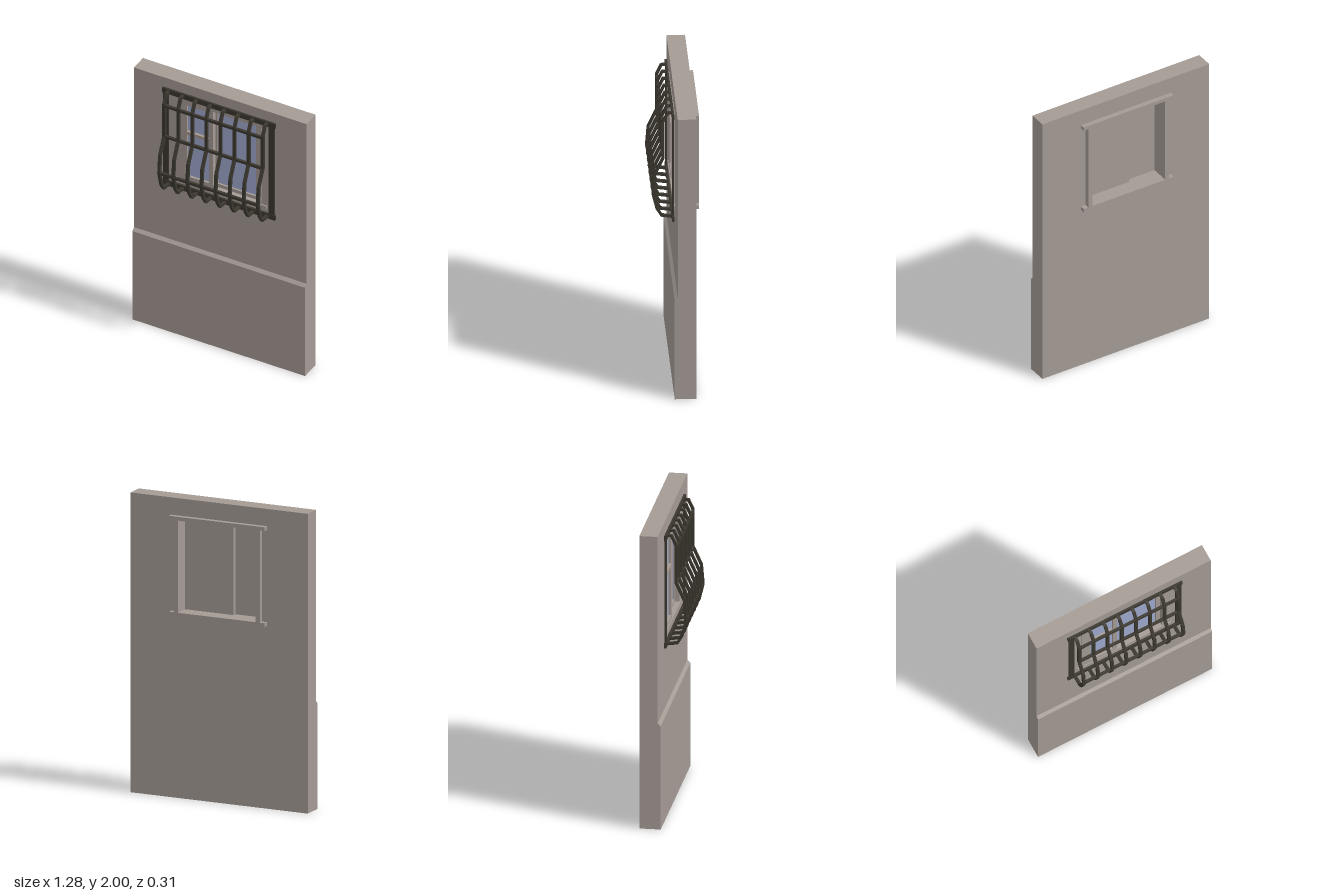
import * as THREE from 'three';

const flat = (name, color) => {
  const m = new THREE.MeshStandardMaterial({ color });
  m.name = name;
  return m;
};

export function createModel() {
  const model = new THREE.Group();
  const plaster = flat('plaster', 0xa59b95);
  const iron = flat('darkIron', 0x3c382f);
  const glass = flat('blueGlass', 0x9faad0);
  const wood = flat('tanEdge', 0xa58f78);

  const add = (name, geo, mat, parent = model) => {
    const mesh = new THREE.Mesh(geo, mat);
    mesh.name = name;
    parent.add(mesh);
    return mesh;
  };
  // Box given by its limits on each axis
  const box = (name, mat, x0, x1, y0, y1, z0, z1, parent) =>
    add(name, new THREE.BoxGeometry(x1 - x0, y1 - y0, z1 - z0)
      .translate((x0 + x1) / 2, (y0 + y1) / 2, (z0 + z1) / 2), mat, parent);
  const rect = (C, x0, x1, y0, y1) => new C([[x0, y0], [x1, y0], [x1, y1], [x0, y1]]
    .map(p => new THREE.Vector2(...p)));
  // Rectangular panel with rectangular openings
  const panel = (outer, holes, z0, z1) => {
    const shape = rect(THREE.Shape, ...outer);
    shape.holes = holes.map(h => rect(THREE.Path, ...h));
    return new THREE.ExtrudeGeometry(shape, { depth: z1 - z0, bevelEnabled: false }).translate(0, 0, z0);
  };
  // Side profile of (z, y) points swept across a width centred on x
  const sweep = (pts, width, x = 0) => new THREE.ExtrudeGeometry(new THREE.Shape(pts),
    { depth: width, bevelEnabled: false }).translate(0, 0, -width / 2).rotateY(-Math.PI / 2).translate(x, 0, 0);

  // Wall with window opening and chamfered plinth
  add('wall', panel([-0.64, 0.64, 0, 2], [[-0.285, 0.285, 1.24, 1.865]], -0.12, 0), plaster);
  add('plinth', sweep([[0, 0], [0.02, 0], [0.02, 0.705], [0, 0.725]]
    .map(p => new THREE.Vector2(...p)), 1.28), plaster);

  // Window frame running through the wall
  const frame = new THREE.Group();
  frame.name = 'windowFrame';
  model.add(frame);
  box('frameHead', plaster, -0.345, 0.345, 1.86, 1.885, -0.155, 0.01, frame);
  box('frameSill', plaster, -0.345, 0.345, 1.22, 1.245, -0.155, 0.01, frame);
  for (const s of [-1, 1]) {
    const [a, b] = [s * 0.28, s * 0.31].sort((p, q) => p - q);
    box('frameJamb', plaster, a, b, 1.245, 1.86, -0.155, 0.005, frame);
  }

  // Two sliding sashes: backing, raised border and glass plates
  const sash = (name, outer, panes, back, front) => {
    const g = new THREE.Group();
    g.name = name;
    model.add(g);
    box('sashBacking', plaster, ...outer, back, back + 0.008, g);
    add('sashBorder', panel(outer, panes, back + 0.008, front), plaster, g);
    for (const [x0, x1, y0, y1] of panes)
      box('glassPane', glass, x0, x1, y0, y1, back + 0.008, back + 0.012, g);
  };
  sash('rightHandSash', [-0.28, -0.05, 1.245, 1.86],
    [[-0.245, -0.08, 1.275, 1.605], [-0.245, -0.08, 1.63, 1.84]], -0.025, 0.004);
  sash('leftHandSash', [-0.07, 0.28, 1.245, 1.86], [[-0.035, 0.25, 1.27, 1.84]], -0.05, -0.025);
  box('paneRail', wood, -0.245, -0.08, 1.624, 1.63, 0.004, 0.006);

  // Flat iron surround of the grille
  const grille = new THREE.Group();
  grille.name = 'grille';
  model.add(grille);
  for (const y of [1.183, 1.915])
    box('surroundRail', iron, -0.42, 0.42, y - 0.019, y + 0.019, 0.01, 0.024, grille);
  for (const x of [-0.392, 0.392])
    box('surroundStile', iron, x - 0.02, x + 0.02, 1.18, 1.92, 0.012, 0.022, grille);

  // Bellied vertical bars: a centre line thickened to both sides
  const line = [[0.018, 1.92], [0.05, 1.92], [0.08, 1.855], [0.08, 1.6], [0.135, 1.48],
    [0.146, 1.345], [0.12, 1.24], [0.09, 1.19], [0.018, 1.18]].map(p => new THREE.Vector2(...p));
  const offset = d => line.map((p, i) => {
    const t = line[Math.min(i + 1, line.length - 1)].clone().sub(line[Math.max(i - 1, 0)]).normalize();
    return new THREE.Vector2(p.x - t.y * d, p.y + t.x * d);
  });
  const outline = [...offset(0.009), ...offset(-0.009).reverse()];
  for (let i = 0; i < 8; i++)
    add('verticalBar', sweep(outline, 0.021, -0.37 + i * 0.1043), iron, grille);

  // Horizontal cross bars following the belly
  for (const [y, z] of [[1.842, 0.08], [1.598, 0.08], [1.343, 0.142]])
    box('crossBar', iron, -0.37, 0.36, y - 0.009, y + 0.009, z - 0.009, z + 0.009, grille);

  return model;
}
